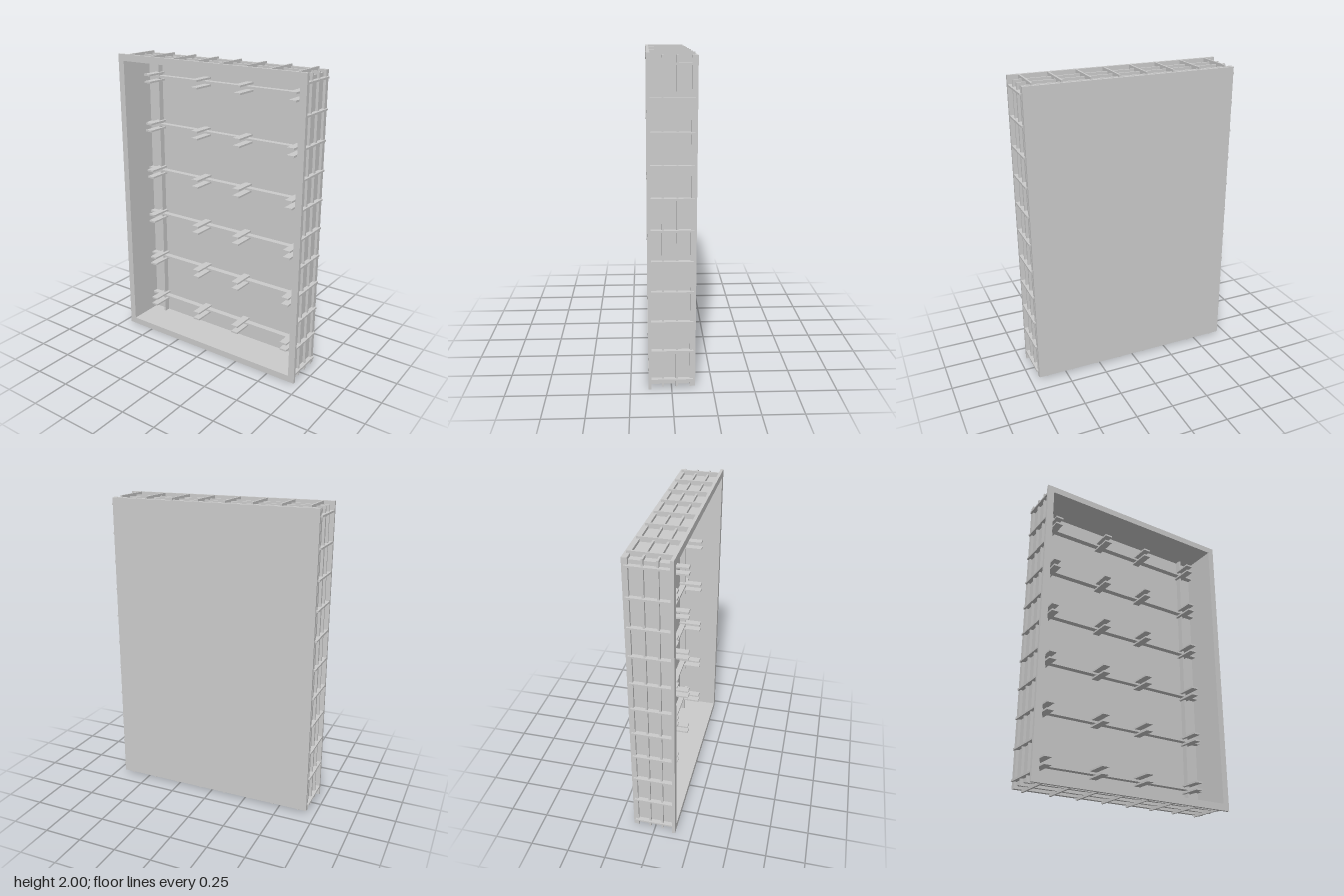
import * as THREE from 'three';

const material = new THREE.MeshStandardMaterial({ color: 0xcccccc, side: THREE.DoubleSide, flatShading: true });

export function createModel() {
  const model = new THREE.Group();
  const CY = 1; // mid height

  // Box given by its min and max corners
  function box(name, x0, x1, y0, y1, z0, z1) {
    const mesh = new THREE.Mesh(new THREE.BoxGeometry(x1 - x0, y1 - y0, z1 - z0), material);
    mesh.position.set((x0 + x1) / 2, (y0 + y1) / 2, (z0 + z1) / 2);
    mesh.name = name;
    model.add(mesh);
  }

  function rectangle(target, w, h) {
    target.moveTo(-w, -h);
    target.lineTo(w, -h);
    target.lineTo(w, h);
    target.lineTo(-w, h);
    target.closePath();
    return target;
  }

  // Rectangular ring between an outer and an inner half size
  function ring(name, outW, outH, inW, inH, z0, z1) {
    const shape = rectangle(new THREE.Shape(), outW, outH);
    shape.holes.push(rectangle(new THREE.Path(), inW, inH));
    const geometry = new THREE.ExtrudeGeometry(shape, { depth: z1 - z0, bevelEnabled: false });
    const mesh = new THREE.Mesh(geometry, material);
    mesh.position.set(0, CY, z0);
    mesh.name = name;
    model.add(mesh);
  }

  // Main shell
  box('backPanel', -0.69, 0.69, 0.015, 1.985, -0.143, -0.12);
  ring('wallSkin', 0.675, 0.97, 0.665, 0.96, -0.12, 0.125);
  ring('frontFlange', 0.704, 1, 0.66, 0.956, 0.122, 0.141);

  // Stiffening rings around the outside
  for (const z of [-0.115, -0.031, 0.052]) {
    ring('outerRing', 0.692, 0.987, 0.67, 0.965, z - 0.006, z + 0.006);
  }

  // Cross ribs over the rings: top and bottom, then both sides
  for (let i = 0; i < 8; i++) {
    const x = -0.63 + i * 0.18;
    box('topRib', x - 0.006, x + 0.006, 1.965, 2, -0.129, 0.125);
    box('bottomRib', x - 0.006, x + 0.006, 0, 0.035, -0.129, 0.125);
  }
  for (let i = 0; i < 11; i++) {
    const y = 0.06 + i * 0.188;
    box('leftRib', 0.67, 0.704, y - 0.006, y + 0.006, -0.129, 0.125);
    box('rightRib', -0.704, -0.67, y - 0.006, y + 0.006, -0.129, 0.125);
  }

  // Uprights inside, against the back
  for (const x of [-0.555, 0.555]) {
    box('innerUpright', x - 0.006, x + 0.006, 0.04, 1.96, -0.121, -0.08);
  }

  // Inner rails, each gripped by pairs of support plates
  for (let row = 0; row < 6; row++) {
    const y = 0.17 + row * 0.333;
    box('innerRail', -0.665, 0.665, y - 0.007, y + 0.007, -0.121, -0.08);
    for (const x of [-0.555, -0.165, 0.165, 0.555]) {
      for (const dy of [-0.024, 0.024]) {
        box('supportPlate', x - 0.025, x + 0.025, y + dy - 0.006, y + dy + 0.006, -0.121, 0.035);
      }
    }
  }

  return model;
}
